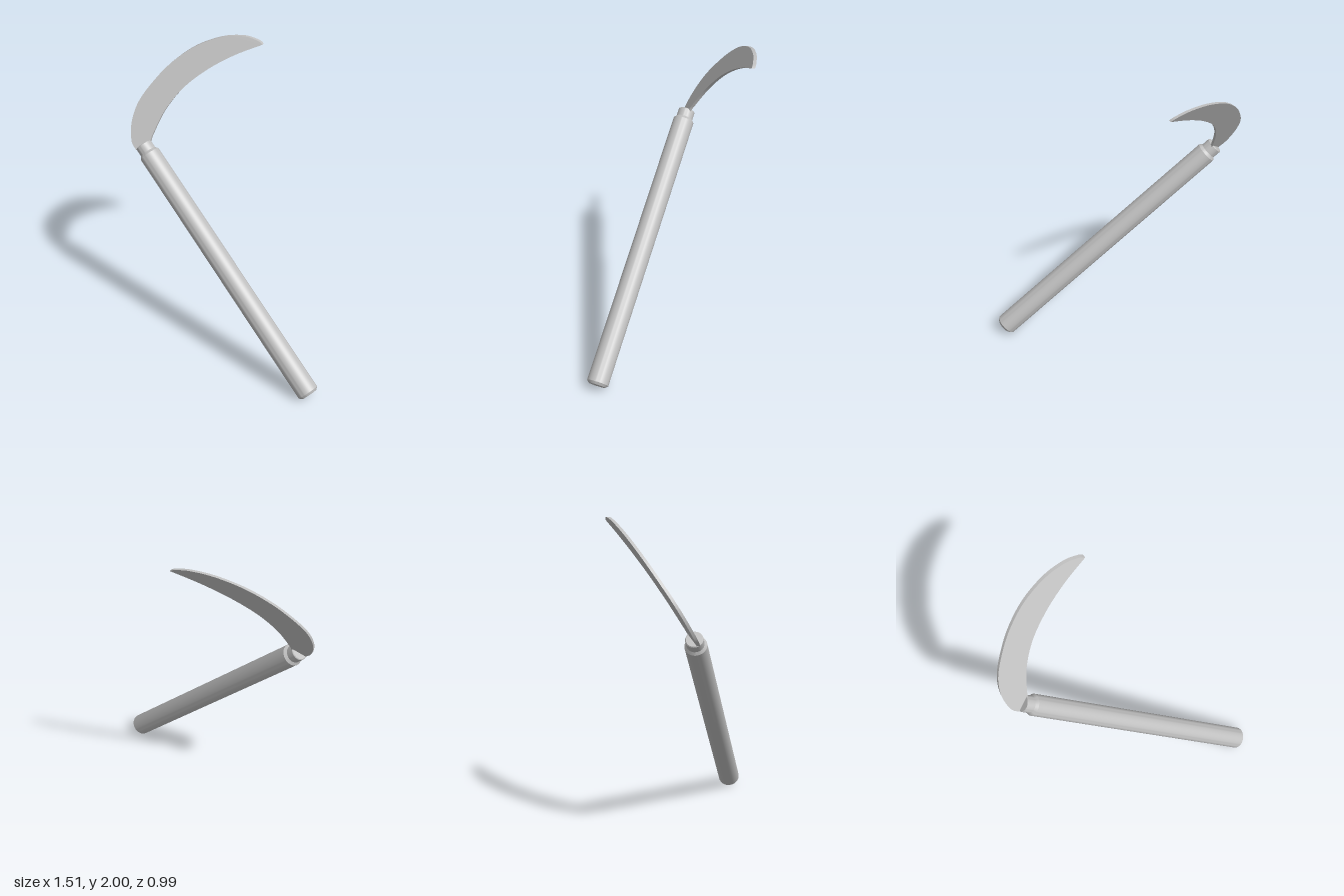
import * as THREE from 'three';
import { toCreasedNormals } from 'three/addons/utils/BufferGeometryUtils.js';

const steel = new THREE.MeshStandardMaterial({ color: 0xc0c0c0 });
steel.name = 'grey';

// Round handle with chamfered ends and a narrower neck, turned about its own axis
function makeHandle() {
  const base = new THREE.Vector3(0.718, 0.046, 0.424);
  const top = new THREE.Vector3(-0.65, 1.328, -0.03);
  const axis = top.clone().sub(base);
  const len = axis.length();
  const profile = [
    [0, 0], [0.056, 0], [0.071, 0.016],
    [0.069, len - 0.075], [0.055, len - 0.058],
    [0.055, len - 0.005], [0.05, len], [0, len],
  ].map(([r, y]) => new THREE.Vector2(r, y));
  const geometry = toCreasedNormals(new THREE.LatheGeometry(profile, 48), 0.5);
  const handle = new THREE.Mesh(geometry, steel);
  handle.name = 'handle';
  handle.position.copy(base);
  handle.quaternion.setFromUnitVectors(new THREE.Vector3(0, 1, 0), axis.normalize());
  return handle;
}

// Thin crescent blade: outline in x and y, leaned onto a tilted plane
function makeBlade() {
  const vec = ([x, y]) => new THREE.Vector2(x, y);
  const spine = [
    [-0.732, 1.342], [-0.756, 1.448], [-0.737, 1.565], [-0.668, 1.687],
    [-0.573, 1.804], [-0.44, 1.91], [-0.281, 1.979], [-0.138, 2.0],
    [-0.04, 1.986], [-0.005, 1.968],
  ].map(vec);
  const edge = [
    [-0.175, 1.889], [-0.334, 1.788], [-0.467, 1.666],
    [-0.557, 1.523], [-0.605, 1.37],
  ].map(vec);

  const shape = new THREE.Shape();
  shape.moveTo(-0.655, 1.295);
  shape.lineTo(-0.69, 1.295);
  shape.splineThru(spine);
  shape.splineThru(edge);
  shape.lineTo(-0.605, 1.345);
  shape.closePath();

  const depth = 0.021;
  const geometry = new THREE.ExtrudeGeometry(shape, { depth, bevelEnabled: false, curveSegments: 6 });
  const p = geometry.attributes.position;
  for (let i = 0; i < p.count; i++) {
    p.setZ(i, p.getZ(i) - depth / 2 + 0.664 - 0.115 * p.getX(i) - 0.582 * p.getY(i));
  }
  const blade = new THREE.Mesh(toCreasedNormals(geometry, 0.5), steel);
  blade.name = 'blade';
  return blade;
}

export function createModel() {
  const model = new THREE.Group();
  model.name = 'sickle';
  model.add(makeHandle(), makeBlade());
  return model;
}
